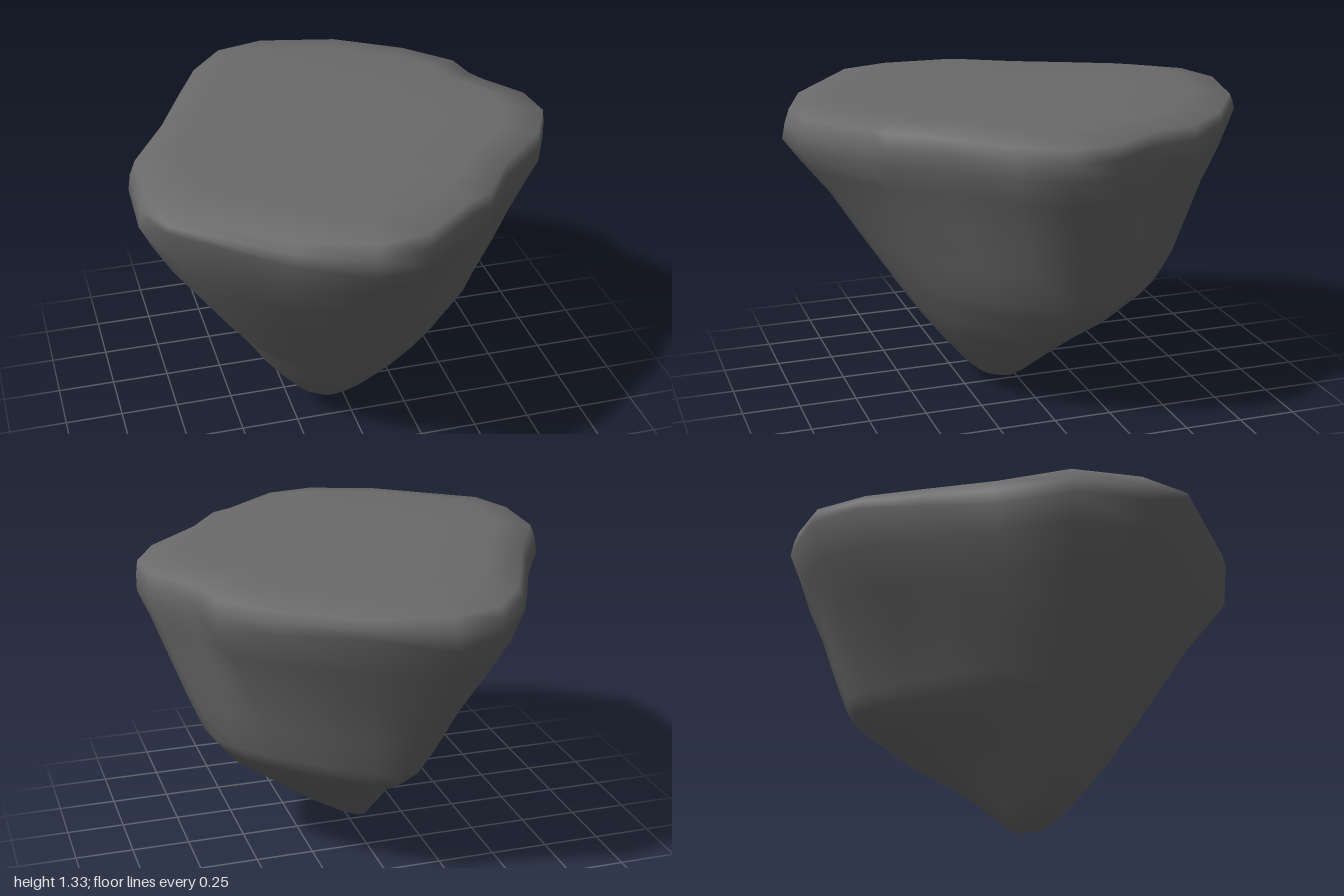
import * as THREE from 'three';
import { mergeVertices } from 'three/addons/utils/BufferGeometryUtils.js';

// Outlines as [x, z] within -1..1, running back, left, front, right.
// A third number lifts the widest part of the rim at that corner.
const RIM = [
  [-0.13, -1], [0.25, -0.92, 0.06], [0.57, -0.73, 0.04], [0.77, -0.53], [0.8, -0.38], [0.84, -0.3],
  [0.98, -0.11], [1, 0.08], [0.89, 0.28], [0.63, 0.51], [0.48, 0.71], [0.38, 0.76],
  [0.1, 0.97], [-0.13, 1], [-0.45, 0.9, 0.04], [-0.92, 0.59, 0.08], [-1, 0.38], [-0.99, 0.07],
  [-0.81, -0.22], [-0.66, -0.52, 0.03], [-0.54, -0.75, 0.05], [-0.37, -0.94, 0.04],
];
const WAIST = [
  [-0.14, -1], [0.08, -0.98], [0.38, -0.78], [0.63, -0.57], [0.77, -0.43], [0.86, -0.33],
  [0.97, -0.17], [1, 0.03], [0.9, 0.28], [0.72, 0.52], [0.54, 0.7], [0.38, 0.82],
  [0.04, 0.97], [-0.29, 1], [-0.61, 0.95], [-0.86, 0.75], [-0.99, 0.52], [-1, 0.23],
  [-0.88, -0.12], [-0.69, -0.4], [-0.48, -0.67], [-0.3, -0.89],
];

// Levels from top to tip: y, xMin, xMax, zMin, zMax
const LEVELS = [
  [1.325, 0, 0, 0, 0],
  [1.33, -0.4, 0.4, -0.45, 0.45],
  [1.33, -0.72, 0.74, -0.8, 0.8],
  [1.3, -0.875, 0.9, -0.97, 0.97],
  [1.24, -0.9, 0.907, -0.988, 0.988],
  [1.17, -0.91, 0.907, -1, 1],
  [1.06, -0.86, 0.86, -0.94, 0.92],
  [0.91, -0.78, 0.805, -0.86, 0.8],
  [0.72, -0.65, 0.735, -0.78, 0.68],
  [0.56, -0.545, 0.67, -0.71, 0.575],
  [0.49, -0.495, 0.615, -0.67, 0.53],
  [0.41, -0.44, 0.55, -0.55, 0.475],
  [0.33, -0.39, 0.46, -0.39, 0.42],
  [0.22, -0.31, 0.33, -0.23, 0.335],
  [0.1, -0.215, 0.165, -0.1, 0.235],
  [0.035, -0.13, 0.05, -0.04, 0.16],
  [0, -0.07, -0.07, 0.1, 0.1],
];

// Loft closed rings that change from rim to waist outline, fitted to each level's bounds
function rockGeometry() {
  const n = RIM.length;
  const positions = [];
  const index = [];
  LEVELS.forEach(([y, x0, x1, z0, z1], level) => {
    const blend = THREE.MathUtils.clamp((1.13 - y) / 0.53, 0, 1);
    const liftAmount = Math.max(0, 1 - Math.abs(y - 1.17) / 0.13);
    for (let i = 0; i < n; i++) {
      const [rimX, rimZ, lift = 0] = RIM[i];
      const x = THREE.MathUtils.lerp(rimX, WAIST[i][0], blend);
      const z = THREE.MathUtils.lerp(rimZ, WAIST[i][1], blend);
      positions.push(
        (x0 + x1 + x * (x1 - x0)) / 2,
        y + lift * liftAmount,
        (z0 + z1 + z * (z1 - z0)) / 2,
      );
      if (level === 0) continue;
      // The first and last rings are single points and need one triangle per side
      const j = (i + 1) % n;
      const upper = (level - 1) * n;
      const lower = level * n;
      if (level > 1) index.push(upper + i, upper + j, lower + i);
      if (level < LEVELS.length - 1) index.push(upper + j, lower + j, lower + i);
    }
  });
  const geometry = new THREE.BufferGeometry();
  geometry.setAttribute('position', new THREE.Float32BufferAttribute(positions, 3));
  geometry.setIndex(index);
  const merged = mergeVertices(geometry, 1e-4);
  merged.computeVertexNormals();
  return merged;
}

export function createModel() {
  const group = new THREE.Group();
  group.name = 'floatingRock';
  // Flat-topped dark rock tapering to an off-centre tip
  const rock = new THREE.Mesh(rockGeometry(), new THREE.MeshStandardMaterial({ color: 0x6a6a6a }));
  rock.name = 'rock';
  group.add(rock);
  return group;
}
